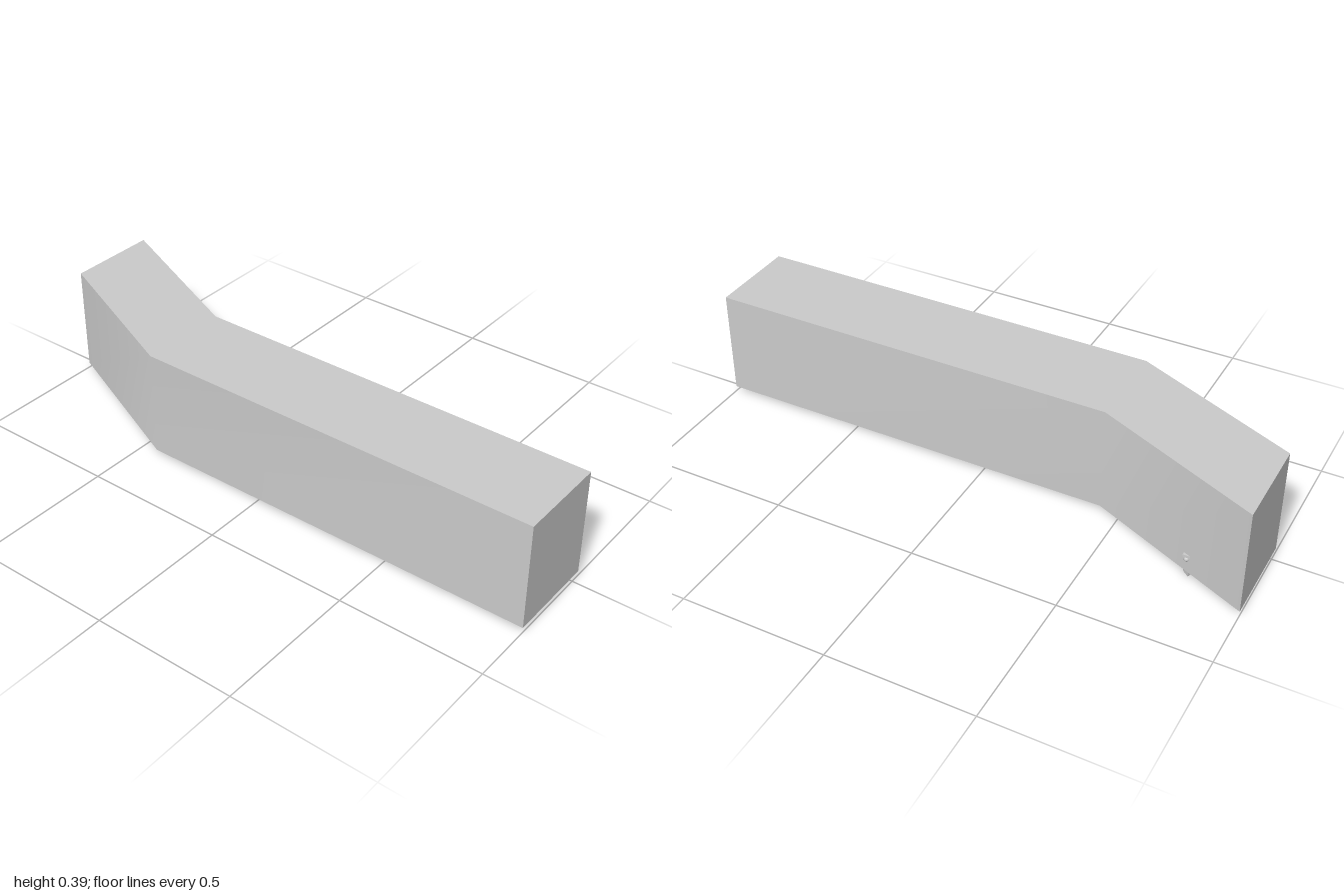
import * as THREE from 'three';

// Outlines are [x, z] corners, counter-clockwise seen from above.
const BODY_BOTTOM = 0.018, BODY_TOP = 0.39;
const material = new THREE.MeshStandardMaterial({ color: 0xcccccc });
const shellMaterial = new THREE.MeshStandardMaterial({ color: 0xcccccc, side: THREE.DoubleSide });

function addMesh(parent, name, geometry, mat = material) {
  const mesh = new THREE.Mesh(geometry, mat);
  mesh.name = name;
  parent.add(mesh);
  return mesh;
}

function outlineShape(points) {
  return new THREE.Shape(points.map(([x, z]) => new THREE.Vector2(x, -z)));
}

// Vertical strip along a path, smooth across its bends
function wallStrip(path, y0, y1) {
  const positions = [], index = [];
  path.forEach(([x, z], i) => {
    positions.push(x, y0, z, x, y1, z);
    if (i > 0) {
      const a = 2 * (i - 1);
      index.push(a, a + 2, a + 3, a, a + 3, a + 1);
    }
  });
  const geometry = new THREE.BufferGeometry();
  geometry.setAttribute('position', new THREE.Float32BufferAttribute(positions, 3));
  geometry.setIndex(index);
  geometry.computeVertexNormals();
  return geometry;
}

export function createModel() {
  const model = new THREE.Group();
  model.name = 'bentHousing';

  // Outer housing: thin walls and roof, open underneath
  const left = [[0.033, 1], [0.033, -0.43], [0.287, -1]];
  const right = [[-0.035, -1], [-0.287, -0.43], [-0.287, 1]];
  const housing = new THREE.Group();
  housing.name = 'housing';
  model.add(housing);
  const walls = {
    leftWall: left,
    backWall: [left[2], right[0]],
    rightWall: right,
    frontWall: [right[2], left[0]],
  };
  for (const [name, path] of Object.entries(walls)) {
    addMesh(housing, name, wallStrip(path, BODY_BOTTOM, BODY_TOP), shellMaterial);
  }
  const roof = new THREE.ShapeGeometry(outlineShape([...left, ...right]));
  roof.rotateX(-Math.PI / 2).translate(0, BODY_TOP, 0);
  addMesh(housing, 'roof', roof, shellMaterial);

  // Inner base block that the model stands on
  const base = new THREE.ExtrudeGeometry(outlineShape([
    [-0.222, 0.92], [-0.02, 0.92], [-0.02, -0.5], [0.083, -0.72], [0.18, -0.78],
    [0.196, -0.8], [0.02, -0.88], [-0.126, -0.762], [-0.222, -0.5],
  ]), { depth: 0.13, bevelEnabled: false });
  base.rotateX(-Math.PI / 2);
  addMesh(model, 'base', base);

  // Small lug on the end of the base
  const lug = addMesh(model, 'endLug', new THREE.BoxGeometry(0.09, 0.014, 0.016));
  lug.position.set(0.115, 0.009, -0.839);
  lug.rotation.y = -Math.atan2(0.08, 0.176);

  // Row of studs along the left side of the base; the last shows through the wall
  const studs = [[-0.018, 0.69], [-0.018, 0.28], [-0.018, -0.146], [-0.016, -0.49], [0.194, -0.79]];
  for (const [x, z] of studs) {
    const stud = new THREE.Group();
    stud.name = 'stud';
    stud.position.set(x, 0.066, z);
    addMesh(stud, 'studKnob', new THREE.SphereGeometry(0.009, 12, 8));
    addMesh(stud, 'studTab', new THREE.BoxGeometry(0.011, 0.009, 0.024)).position.y = 0.013;
    model.add(stud);
  }
  return model;
}
